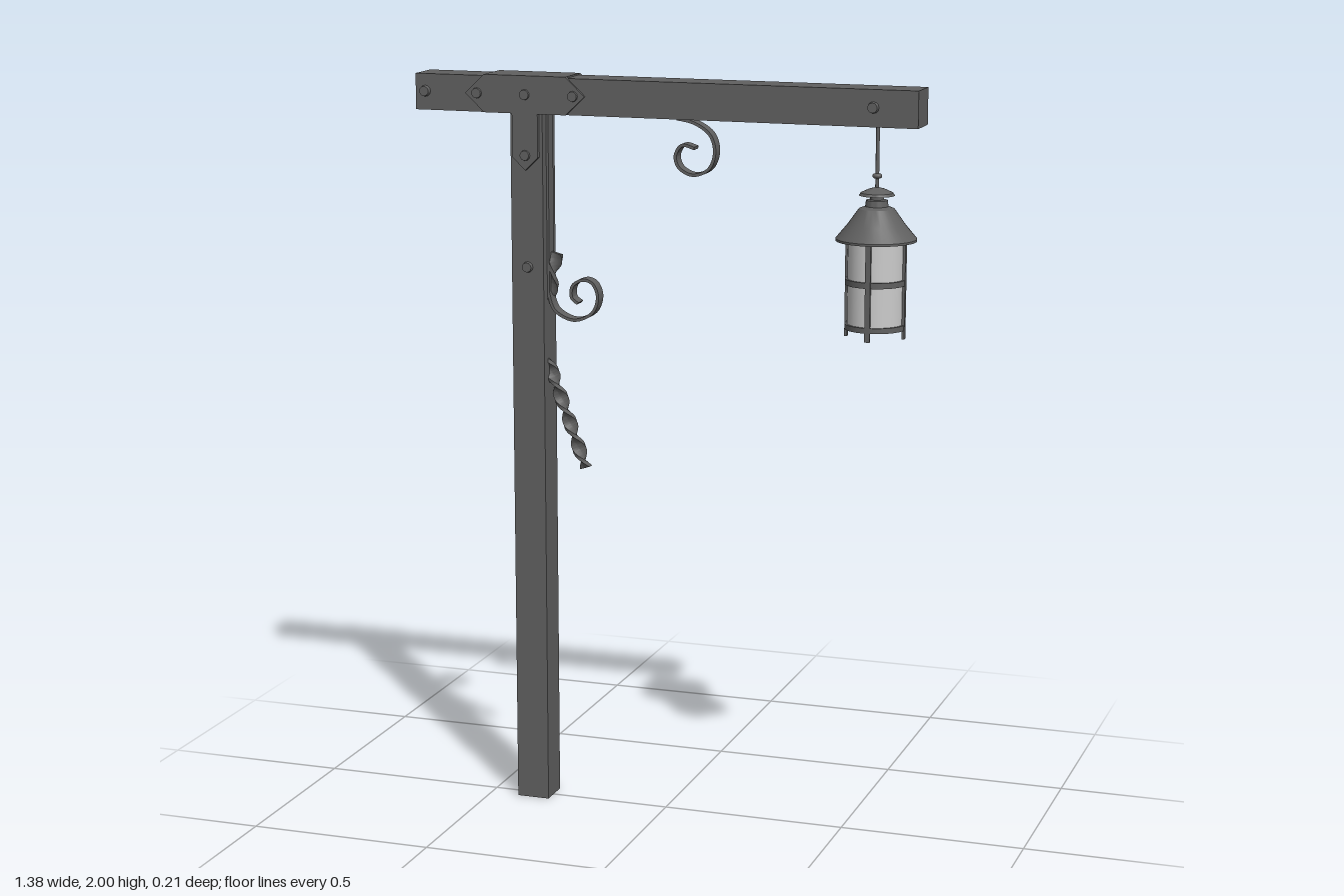
import * as THREE from 'three';
import { toCreasedNormals } from 'three/addons/utils/BufferGeometryUtils.js';

const dark = new THREE.MeshStandardMaterial({ color: 0x606060 });
const darkOpen = new THREE.MeshStandardMaterial({ color: 0x606060, side: THREE.DoubleSide });
const pale = new THREE.MeshStandardMaterial({ color: 0xcccccc });
const CZ = -0.005; // shared centre plane
const POST_X = -0.375;
const LAMP_X = 0.57;

function add(parent, name, geometry, x, y, z, material = dark) {
  const mesh = new THREE.Mesh(geometry, material);
  mesh.name = name;
  mesh.position.set(x, y, z);
  parent.add(mesh);
  return mesh;
}

const vectors = (pts) => pts.map(([x, y]) => new THREE.Vector2(x, y));

// Flat iron band following a curve in the xy plane
function bandGeometry(pts, thickness, width) {
  const curve = new THREE.SplineCurve(vectors(pts));
  const outer = [], inner = [];
  const n = 60;
  for (let i = 0; i <= n; i++) {
    const p = curve.getPoint(i / n), t = curve.getTangent(i / n);
    const off = new THREE.Vector2(-t.y, t.x).multiplyScalar(thickness / 2);
    outer.push(p.clone().add(off));
    inner.push(p.clone().sub(off));
  }
  const geo = new THREE.ExtrudeGeometry(new THREE.Shape([...outer, ...inner.reverse()]),
    { depth: width, bevelEnabled: false });
  return toCreasedNormals(geo.translate(0, 0, -width / 2), 0.6);
}

// Flat bar twisted about its length, laid between two points in the xy plane
function twistedBar(parent, name, a, b, turns) {
  const [ax, ay] = a, [bx, by] = b;
  const length = Math.hypot(bx - ax, by - ay);
  const geo = new THREE.BoxGeometry(0.012, length, 0.036, 1, 48, 2);
  const pos = geo.attributes.position;
  for (let i = 0; i < pos.count; i++) {
    const x = pos.getX(i), z = pos.getZ(i);
    const angle = (pos.getY(i) / length + 0.5) * turns * Math.PI * 2;
    const c = Math.cos(angle), s = Math.sin(angle);
    pos.setX(i, x * c - z * s);
    pos.setZ(i, x * s + z * c);
  }
  const mesh = add(parent, name, toCreasedNormals(geo, 0.7), (ax + bx) / 2, (ay + by) / 2, CZ);
  mesh.rotation.z = Math.atan2(by - ay, bx - ax) - Math.PI / 2;
}

// Bolt heads on both faces
function bolts(parent, x, y, half) {
  for (const side of [-1, 1]) {
    const geo = new THREE.CylinderGeometry(0.013, 0.016, 0.016, 12).rotateX(side * Math.PI / 2);
    add(parent, 'bolt', geo, x, y, CZ + side * half);
  }
}

function createLantern() {
  const lantern = new THREE.Group();
  lantern.name = 'lantern';
  lantern.position.set(LAMP_X, 0, CZ);

  // Hanging rod with a bead
  add(lantern, 'hangingRod', new THREE.CylinderGeometry(0.005, 0.005, 0.18, 8), 0, 1.82, 0);
  add(lantern, 'rodBead', new THREE.SphereGeometry(0.013, 12, 8).scale(1, 0.6, 1), 0, 1.77, 0);

  // Small vent cap over the roof
  const cap = vectors([[0.018, 1.705], [0.018, 1.72], [0.046, 1.72], [0.042, 1.727], [0.02, 1.737], [0, 1.742]]);
  add(lantern, 'ventCap', toCreasedNormals(new THREE.LatheGeometry(cap, 32), 0.5), 0, 0, 0, darkOpen);

  // Flared roof with a hollow underside
  const roof = vectors([[0.07, 1.612], [0.105, 1.603], [0.105, 1.609], [0.075, 1.645], [0.046, 1.686],
    [0.03, 1.692], [0.028, 1.708], [0, 1.712]]);
  add(lantern, 'roof', toCreasedNormals(new THREE.LatheGeometry(roof, 32), 0.5), 0, 0, 0, darkOpen);

  // Glass cylinder and base
  add(lantern, 'glass', new THREE.CylinderGeometry(0.073, 0.073, 0.24, 32), 0, 1.495, 0, pale);
  add(lantern, 'base', new THREE.CylinderGeometry(0.079, 0.079, 0.014, 32), 0, 1.38, 0);
  add(lantern, 'middleRing', new THREE.CylinderGeometry(0.079, 0.079, 0.015, 32), 0, 1.497, 0);

  // Four uprights that end in short feet
  for (let i = 0; i < 4; i++) {
    const a = i * Math.PI / 2;
    const bar = add(lantern, 'upright', new THREE.BoxGeometry(0.007, 0.262, 0.014),
      Math.cos(a) * 0.0765, 1.481, Math.sin(a) * 0.0765);
    bar.rotation.y = -a;
  }
  return lantern;
}

export function createModel() {
  const model = new THREE.Group();
  model.name = 'lanternPost';

  // Timber post and crossbeam
  add(model, 'post', new THREE.BoxGeometry(0.09, 1.9, 0.09), POST_X, 0.95, CZ);
  add(model, 'beam', new THREE.BoxGeometry(1.375, 0.096, 0.1), 0, 1.948, CZ);

  // Iron T plates with pointed ends, joined over the beam
  const outline = vectors([[-0.115, 2], [-0.168, 1.95], [-0.115, 1.9], [-0.036, 1.9], [-0.036, 1.785],
    [0, 1.75], [0.036, 1.785], [0.036, 1.9], [0.115, 1.9], [0.168, 1.95], [0.115, 2]]);
  const plate = new THREE.ExtrudeGeometry(new THREE.Shape(outline), { depth: 0.014, bevelEnabled: false });
  plate.translate(0, 0, -0.007);
  for (const side of [-1, 1]) add(model, 'jointPlate', plate, POST_X, 0, CZ + side * 0.05);
  add(model, 'topStrap', new THREE.BoxGeometry(0.23, 0.006, 0.1), POST_X, 1.997, CZ);

  // Bolts through the timber and plates
  for (const x of [-0.66, LAMP_X]) bolts(model, x, 1.95, 0.053);
  for (const dx of [-0.135, 0, 0.135]) bolts(model, POST_X + dx, 1.95, 0.055);
  bolts(model, POST_X, 1.79, 0.055);
  bolts(model, POST_X, 1.49, 0.047);

  // Iron strip on the post and scrolled bands
  add(model, 'postStrip', new THREE.BoxGeometry(0.008, 0.5, 0.036), -0.328, 1.65, CZ);
  add(model, 'postScroll', bandGeometry([[-0.328, 1.42], [-0.31, 1.372], [-0.257, 1.348], [-0.206, 1.368],
    [-0.188, 1.41], [-0.2, 1.447], [-0.228, 1.458], [-0.258, 1.442], [-0.262, 1.41], [-0.244, 1.394]],
    0.008, 0.036), 0, 0, CZ);
  add(model, 'beamScroll', bandGeometry([[0.035, 1.898], [0.082, 1.888], [0.124, 1.86], [0.138, 1.815],
    [0.122, 1.77], [0.08, 1.752], [0.042, 1.768], [0.03, 1.8], [0.048, 1.829], [0.082, 1.822]],
    0.008, 0.036), 0, 0, CZ);

  // Twisted iron bars leaning out of the post
  twistedBar(model, 'upperTwist', [-0.331, 1.4], [-0.31, 1.525], 0.8);
  twistedBar(model, 'lowerTwist', [-0.34, 1.24], [-0.23, 0.942], 2.2);

  model.add(createLantern());
  return model;
}
